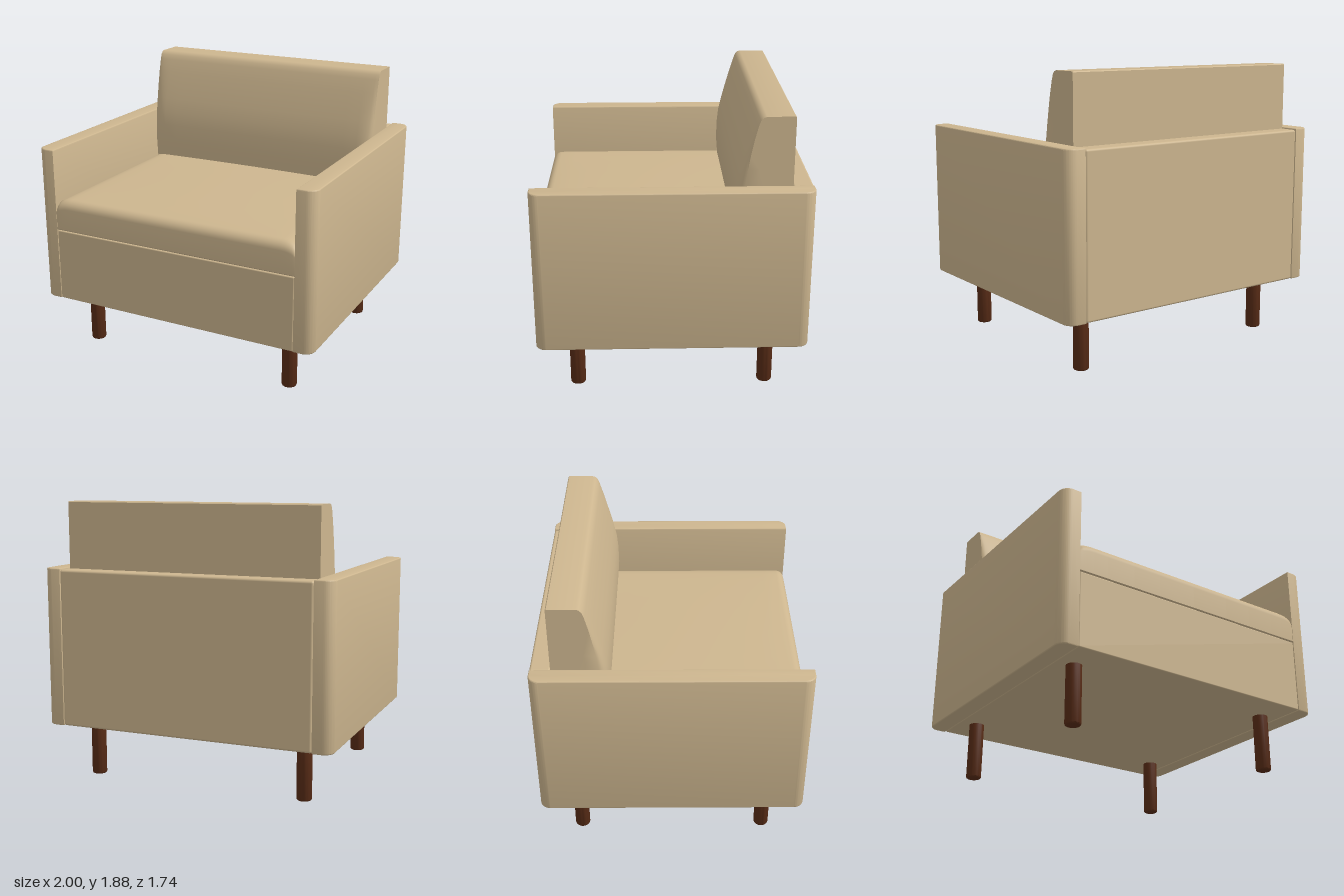
import * as THREE from 'three';
import { toCreasedNormals } from 'three/addons/utils/BufferGeometryUtils.js';
import { RoundedBoxGeometry } from 'three/addons/geometries/RoundedBoxGeometry.js';

const fabric = new THREE.MeshStandardMaterial({ color: 0xcdb68f });
const wood = new THREE.MeshStandardMaterial({ color: 0x5a2d17 });
const HALF = 0.874; // half width between the arms

function add(group, name, geometry, material, x = 0, y = 0, z = 0) {
  const mesh = new THREE.Mesh(geometry, material);
  mesh.name = name;
  mesh.position.set(x, y, z);
  group.add(mesh);
  return mesh;
}

// Solid lofted along x from closed [z, y] sections (bottom front, bottom back, top, front)
function loftX(section) {
  const side = [0, 0.01, 0.025, 0.045, 0.07, 0.1, 0.2, 0.4, 0.6].map((d) => HALF - d);
  const xs = [...side.map((x) => -x), 0, ...side.slice().reverse()];
  const pos = [], index = [];
  const n = section(0).length, last = (xs.length - 1) * n;
  for (const x of xs) for (const [z, y] of section(x)) pos.push(x, y, z);
  for (let i = 0; i < xs.length - 1; i++) {
    for (let j = 0; j < n; j++) {
      const a = i * n + j, b = i * n + (j + 1) % n;
      index.push(a, b, b + n, a, b + n, a + n);
    }
  }
  // end caps, fanned about the section centre
  for (const start of [0, last]) {
    const c = pos.length / 3;
    const ring = section(start ? HALF : -HALF);
    const mean = (k) => ring.reduce((s, p) => s + p[k], 0) / n;
    pos.push(start ? HALF : -HALF, mean(1), mean(0));
    for (let j = 0; j < n; j++) {
      const a = start + j, b = start + (j + 1) % n;
      if (start) index.push(c, a, b);
      else index.push(c, b, a);
    }
  }
  const g = new THREE.BufferGeometry();
  g.setAttribute('position', new THREE.Float32BufferAttribute(pos, 3));
  g.setIndex(index);
  return toCreasedNormals(g, 0.7);
}

// 0 at the side edges, rising quickly to 1 across the cushion
const edgeEase = (x) => {
  const d = Math.min(1, (HALF - Math.abs(x)) / 0.1);
  return Math.sqrt(Math.max(0, 1 - (1 - d) ** 2));
};

// Crowned seat with a rounded front top edge
function seatSection(x) {
  const top = 1.06 + 0.037 * edgeEase(x);
  const crown = 0.018 * (1 - (x / HALF) ** 2);
  const pts = [[0.862, 0.882], [-0.74, 0.882], [-0.74, top]];
  for (const z of [-0.4, -0.1, 0.2, 0.5, 0.7]) {
    pts.push([z, top + crown * (1 - ((z - 0.15) / 0.75) ** 2)]);
  }
  const r = 0.06;
  for (let i = 0; i <= 6; i++) {
    const a = (i / 6) * Math.PI / 2;
    pts.push([0.81 + r * Math.sin(a), top - r + r * Math.cos(a)]);
  }
  pts.push([0.87, 0.89]);
  return pts;
}

// Leaning back cushion, its front face pillowed towards the sides
function backSection(x) {
  const setback = 0.045 * (1 - edgeEase(x));
  const front = [
    [-0.565, 1.876], [-0.545, 1.87], [-0.527, 1.852], [-0.512, 1.82], [-0.48, 1.73],
    [-0.45, 1.63], [-0.425, 1.54], [-0.402, 1.44], [-0.392, 1.34], [-0.39, 1.22], [-0.4, 1.1],
  ];
  return [
    [-0.41 - setback, 0.95], [-0.742, 0.95], [-0.742, 1.87], [-0.736, 1.876],
    ...front.map(([z, y]) => [z - setback * Math.min(1, (1.876 - y) / 0.45), y]),
  ];
}

// Arm panel: square against the seat, rounded on its outer upright corners
function armGeometry() {
  const b = 0.008, r = 0.06, inner = 0.875 + b, outer = 1 - b, d = 0.872 - b;
  const s = new THREE.Shape();
  s.moveTo(inner, -d);
  s.lineTo(outer - r, -d);
  s.absarc(outer - r, -d + r, r, -Math.PI / 2, 0, false);
  s.lineTo(outer, d - r);
  s.absarc(outer - r, d - r, r, 0, Math.PI / 2, false);
  s.lineTo(inner, d);
  s.closePath();
  const g = new THREE.ExtrudeGeometry(s, {
    depth: 1.06 - 2 * b, bevelEnabled: true, bevelSize: b, bevelThickness: b,
    bevelSegments: 3, curveSegments: 10,
  });
  g.rotateX(-Math.PI / 2).translate(0, 0.38 + b, 0);
  return toCreasedNormals(g, 0.6);
}

// Round leg with softened ends
function legGeometry() {
  const p = [[0, 0], [0.042, 0], [0.047, 0.003], [0.05, 0.01], [0.05, 0.39], [0, 0.39]];
  return toCreasedNormals(
    new THREE.LatheGeometry(p.map(([x, y]) => new THREE.Vector2(x, y)), 32), 0.9);
}

export function createModel() {
  const chair = new THREE.Group();
  chair.name = 'armchair';

  // Upholstered frame
  add(chair, 'seatBase', new RoundedBoxGeometry(2 * HALF, 0.498, 1.64, 3, 0.008), fabric, 0, 0.631, 0.05);
  add(chair, 'backPanel', new RoundedBoxGeometry(2 * HALF, 1.05, 0.13, 4, 0.015), fabric, 0, 0.907, -0.807);
  const arm = armGeometry();
  add(chair, 'leftArm', arm, fabric);
  add(chair, 'rightArm', arm, fabric).rotation.y = Math.PI;

  // Cushions
  add(chair, 'seatCushion', loftX(seatSection), fabric);
  add(chair, 'backCushion', loftX(backSection), fabric);

  // Legs
  const leg = legGeometry();
  for (const x of [-0.75, 0.75]) {
    for (const z of [-0.625, 0.625]) {
      add(chair, `${z > 0 ? 'front' : 'back'}${x > 0 ? 'Left' : 'Right'}Leg`, leg, wood, x, 0, z);
    }
  }
  return chair;
}
